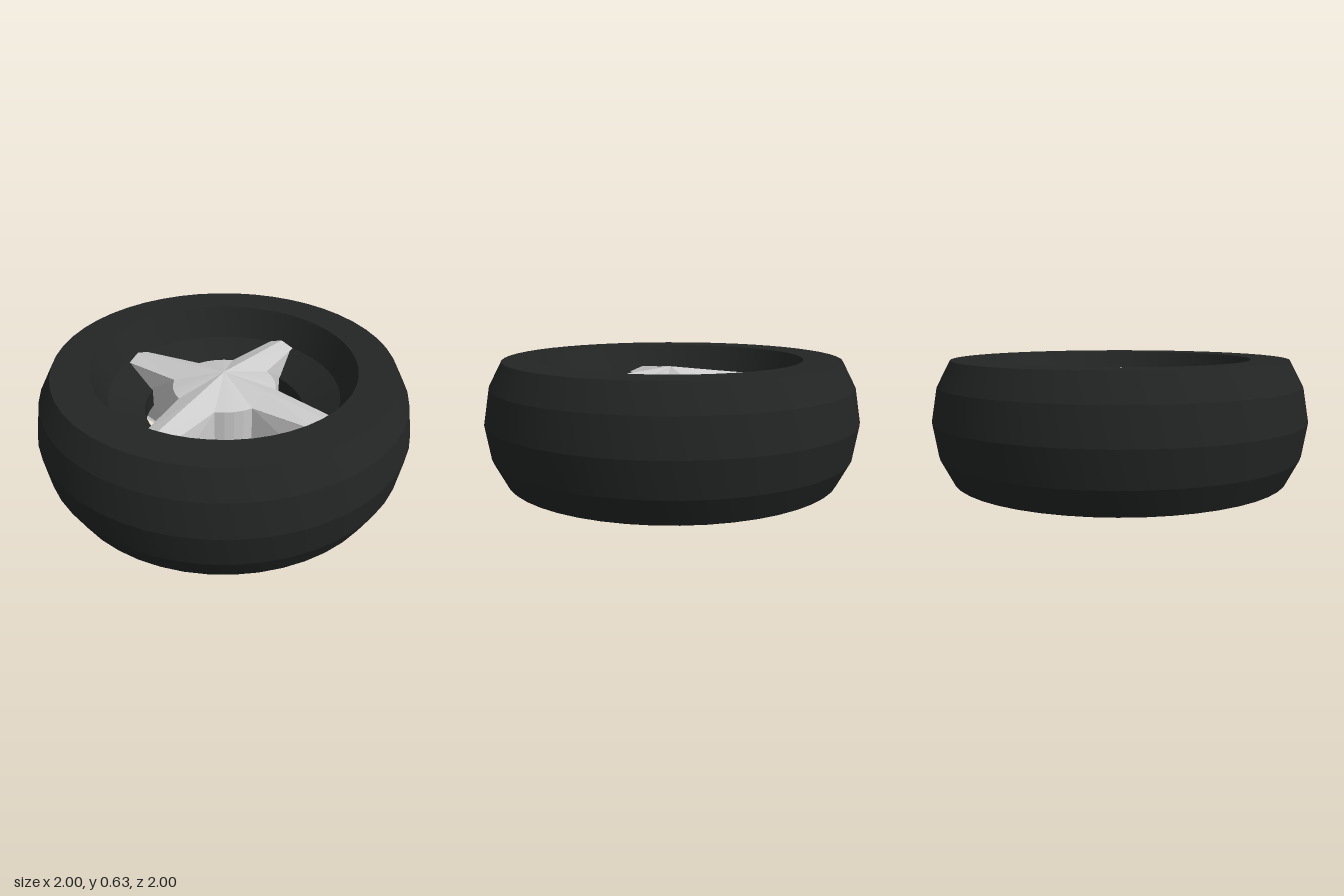
import * as THREE from 'three';
import { toCreasedNormals } from 'three/addons/utils/BufferGeometryUtils.js';

const MID = 0.315; // half height; everything is mirrored about this level

// Tyre: closed ring section, banded tread and a funnel on each side of the hole
function makeTyre() {
  const upper = [[1, 0], [0.97, 0.18], [0.9, MID], [0.7, MID], [0.62, 0.15], [0.43, 0.05]];
  const lower = upper.slice(1).reverse().map(([r, y]) => [r, -y]);
  const profile = [...upper, ...lower, upper[0]].map(([r, y]) => new THREE.Vector2(r, y));
  const geo = toCreasedNormals(new THREE.LatheGeometry(profile, 48), 0.2);
  const mesh = new THREE.Mesh(geo, new THREE.MeshStandardMaterial({ color: 0x232525 }));
  mesh.name = 'tyre';
  return mesh;
}

// Spoke: forked side outline, extruded across, tapered, with a raised centre ridge
function makeSpokeGeometry() {
  const top = [[0.25, 0.185], [0.6, 0.165], [0.62, 0.145], [0.6, 0.13], [0.44, 0.055]];
  const bottom = top.slice().reverse().map(([r, y]) => [r, -y]);
  const outline = [...top, [0.42, 0], ...bottom].map(([r, y]) => new THREE.Vector2(r, y));
  const geo = new THREE.ExtrudeGeometry(new THREE.Shape(outline), { depth: 2, steps: 2, bevelEnabled: false });
  geo.translate(0, 0, -1);
  const p = geo.attributes.position;
  for (let i = 0; i < p.count; i++) {
    const r = p.getX(i), y = p.getY(i), z = p.getZ(i);
    const halfWidth = r > 0.61 ? 0.055 : 0.113 - (r - 0.25) * 0.1;
    p.setZ(i, z * halfWidth);
    if (Math.abs(z) < 0.01 && Math.abs(y) > 0.14) {
      p.setY(i, y + Math.sign(y) * (0.05 - (r - 0.25) * 0.057));
    }
  }
  geo.computeVertexNormals();
  return geo;
}

// Hub: faceted points above and below a short drum, meeting the spoke ridges
function makeHubGeometry() {
  const ring = [];
  for (let k = 0; k < 4; k++) {
    const add = (angle, r, y) => {
      const a = angle + k * Math.PI / 2;
      ring.push([r * Math.cos(a), y, r * Math.sin(a)]);
    };
    const corner = Math.atan2(0.113, 0.25), rc = Math.hypot(0.113, 0.25);
    add(0, 0.25, 0.235);
    for (let j = 0; j <= 4; j++) add(corner + (Math.PI / 2 - 2 * corner) * j / 4, rc, 0.185);
  }
  const flip = ([x, y, z]) => [x, -y, z];
  const apex = [0, 0.265, 0];
  const verts = [];
  ring.forEach((a, i) => {
    const b = ring[(i + 1) % ring.length];
    verts.push(...apex, ...b, ...a);
    verts.push(...flip(apex), ...flip(a), ...flip(b));
    verts.push(...a, ...b, ...flip(b), ...a, ...flip(b), ...flip(a));
  });
  const geo = new THREE.BufferGeometry();
  geo.setAttribute('position', new THREE.Float32BufferAttribute(verts, 3));
  geo.computeVertexNormals();
  return geo;
}

export function createModel() {
  const model = new THREE.Group();
  model.name = 'wheel';
  const grey = new THREE.MeshStandardMaterial({ color: 0xcccccc, flatShading: true });

  const tyre = makeTyre();
  tyre.position.y = MID;
  model.add(tyre);

  // Four-spoke rim around the hub
  const rim = new THREE.Group();
  rim.name = 'rim';
  rim.position.set(0.006, MID, 0.006);
  const hub = new THREE.Mesh(makeHubGeometry(), grey);
  hub.name = 'hub';
  rim.add(hub);
  const spokeGeo = makeSpokeGeometry();
  for (let k = 0; k < 4; k++) {
    const spoke = new THREE.Mesh(spokeGeo, grey);
    spoke.name = 'spoke' + (k + 1);
    spoke.rotation.y = k * Math.PI / 2;
    rim.add(spoke);
  }
  model.add(rim);
  return model;
}
